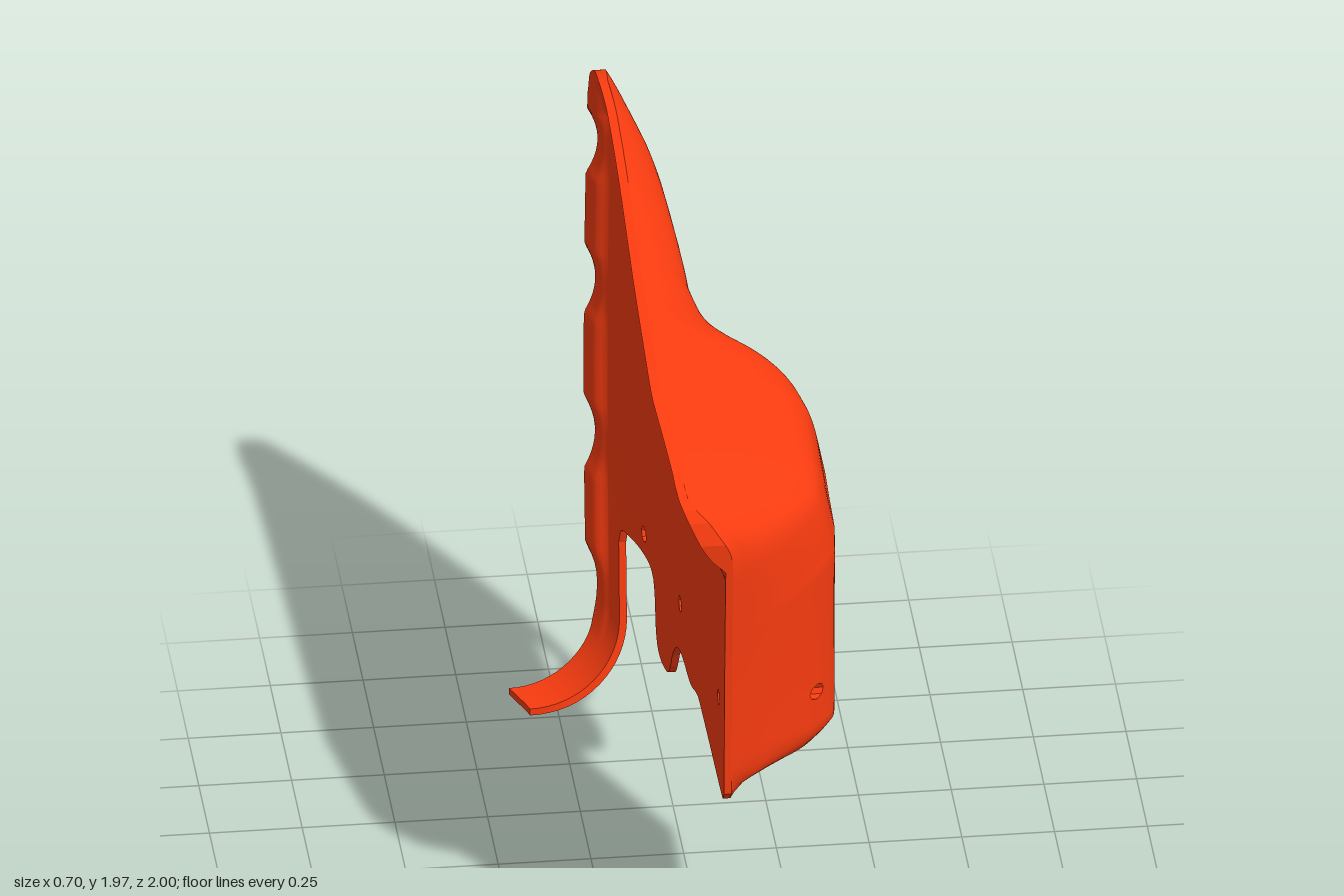
import * as THREE from 'three';
import { mergeGeometries } from 'three/addons/utils/BufferGeometryUtils.js';

const { lerp, smoothstep, clamp } = THREE.MathUtils;

// Smooth monotone curve through [t, value] points (t ascending)
function curve(pts) {
  const n = pts.length;
  const d = pts.slice(1).map((p, i) => (p[1] - pts[i][1]) / (p[0] - pts[i][0]));
  const m = pts.map((p, i) => {
    if (i === 0) return d[0];
    if (i === n - 1) return d[n - 2];
    return d[i - 1] * d[i] <= 0 ? 0 : (2 * d[i - 1] * d[i]) / (d[i - 1] + d[i]);
  });
  return (t) => {
    t = clamp(t, pts[0][0], pts[n - 1][0]);
    let i = 0;
    while (i < n - 2 && t > pts[i + 1][0]) i++;
    const h = pts[i + 1][0] - pts[i][0], s = (t - pts[i][0]) / h, r = 1 - s;
    return (1 + 2 * s) * r * r * pts[i][1] + s * r * r * h * m[i]
      + s * s * (3 - 2 * s) * pts[i + 1][1] - s * s * r * h * m[i + 1];
  };
}

// Outline: top and bottom edges along the panel, rear and front edges by height
const topEdge = curve([[-1, 1.84], [-0.97, 1.92], [-0.9, 1.96], [-0.81, 1.968], [-0.7, 1.958], [0, 1.868],
  [0.5, 1.803], [0.6, 1.787], [0.75, 1.75], [0.87, 1.712], [0.94, 1.675], [0.98, 1.62], [1, 1.55]]);
const bottomEdge = curve([[-0.835, 0.49], [-0.825, 0.525], [-0.79, 0.547], [-0.55, 0.58], [-0.51, 0.568],
  [-0.487, 0.535], [-0.465, 0.41], [-0.44, 0.38], [-0.4, 0.37], [-0.3, 0.388], [-0.27, 0.41], [-0.2, 0.51],
  [-0.13, 0.565], [-0.05, 0.59], [0.15, 0.62], [0.36, 0.69], [0.6, 0.7], [0.96, 0.712], [1, 0.745]]);
const rearEdge = curve([[0.02, -0.88], [0.25, -0.94], [0.4, -0.965], [0.7, -0.995], [1, -1],
  [1.3, -0.985], [1.6, -0.95], [1.85, -0.91], [1.95, -0.9]]);
const frontEdge = curve([[0.72, 0.95], [0.95, 0.957], [1.2, 0.97], [1.55, 1]]);

// Flat panel and the solid bulge on its outer face
const panelDepth = curve([[-1, -0.105], [-0.82, -0.058], [-0.45, 0], [0, 0.02], [1, 0.02]]);
const bulgeRear = curve([[-0.22, 0], [-0.1, 0.12], [-0.04, 0.26], [0.01, 0.48], [0.06, 0.74], [0.13, 0.9], [0.23, 1]]);
const bulgeFront = curve([[0.68, 1], [0.76, 0.97], [0.85, 0.79], [0.92, 0.52], [0.97, 0.26], [1, 0]]);
const bulgeBottom = curve([[0, 0], [0.04, 0.28], [0.09, 0.84], [0.14, 1]]);
const bulgeTop = curve([[0, 0], [0.02, 0.16], [0.11, 0.6], [0.2, 0.86], [0.38, 1]]);

// Flanges: line they roll towards, depth of their lip, and the stepped inner faces
const rollLine = curve([[-1, 1.96], [-0.9, 1.975], [-0.81, 1.968], [0, 1.868], [0.6, 1.787], [0.87, 1.715], [1, 1.63]]);
const topLip = curve([[-1, -0.155], [-0.6, -0.135], [0.55, -0.155], [0.9, -0.13], [1, -0.11]]);
const topStep = curve([[0, 1], [0.13, 0.35], [0.17, 0]]);
const rearStep = curve([[0, 1], [0.065, 0.45], [0.08, 0]]);

const HOOK_START = -0.835;
const HOOK_RADIUS = 0.265;
const THICKNESS = 0.02;

function outerDepth(u, y) {
  const below = rollLine(u) - y;
  const footZ = 0.2 + Math.max(0, 1.5 - y) * 0.26;
  const spread = clamp(0.45 + (y - 0.75) * 0.73, 0.45, 1);
  let bulge = bulgeRear((u - footZ) / spread);
  if (bulge > 0) bulge *= bulgeFront(u) * bulgeTop(below) * bulgeBottom(y - bottomEdge(u));
  const roll = clamp(1 - below / 0.17, 0, 1) ** 2.5;
  return lerp(panelDepth(u) + 0.31 * bulge, topLip(u) + 0.025, roll);
}

function innerDepth(u, y) {
  // Rear lip with scallops
  let lip = -0.155;
  for (const c of [0.3, 0.74, 1.22, 1.68]) lip += 0.03 * Math.max(0, 1 - ((y - c) / 0.11) ** 2);
  const x = lerp(panelDepth(u) - THICKNESS, topLip(u), topStep(rollLine(u) - y));
  return lerp(x, lip, rearStep(u + 1) * smoothstep(y, 0.12, 0.4));
}

// Surface point at u (front-back position) and y (height before the hook curls)
function surfacePoint(u, y, inside) {
  const outer = outerDepth(u, y);
  let x = inside ? innerDepth(u, y) : outer, h = y;
  // Lower hook bends inwards by a quarter turn
  if (y < HOOK_RADIUS) {
    const a = (HOOK_RADIUS - y) / HOOK_RADIUS, r = HOOK_RADIUS + x - outer;
    x = outer - HOOK_RADIUS + r * Math.cos(a);
    h = HOOK_RADIUS - r * Math.sin(a);
  }
  const z = u + (rearEdge(h) + 1) * Math.max(0, (-u - 0.6) / 0.4)
    + (frontEdge(h) - 1) * Math.max(0, (u - 0.5) / 0.5);
  return [x, h, z];
}

// Thick sheet between two u limits, with round holes
function sheet(u0, u1, cols, rows, bottom, holes = []) {
  const params = [], removed = new Set(), id = (i, j) => i * (rows + 1) + j;
  for (let i = 0; i <= cols; i++) {
    const u = lerp(u0, u1, i / cols), b = bottom(u), t = topEdge(u);
    for (let j = 0; j <= rows; j++) params.push([u, lerp(t, b, (1 - j / rows) ** 1.5)]);
  }
  // Each hole takes a 2 x 2 block of cells, whose rim moves onto a circle
  for (const [hu, hy] of holes) {
    const ci = Math.round((hu - u0) / (u1 - u0) * cols);
    let cj = 1;
    for (let j = 1; j < rows; j++) {
      if (Math.abs(params[id(ci, j)][1] - hy) < Math.abs(params[id(ci, cj)][1] - hy)) cj = j;
    }
    for (let di = -1; di <= 1; di++) for (let dj = -1; dj <= 1; dj++) {
      const a = Math.atan2(dj, di), r = di || dj ? 0.023 : 0;
      params[id(ci + di, cj + dj)] = [hu + r * Math.cos(a), hy + r * Math.sin(a)];
      if (di < 1 && dj < 1) removed.add(id(ci + di, cj + dj));
    }
  }
  const index = [];
  for (let i = 0; i < cols; i++) for (let j = 0; j < rows; j++) {
    if (removed.has(id(i, j))) continue;
    const a = id(i, j), b = id(i, j + 1), c = id(i + 1, j + 1), d = id(i + 1, j);
    index.push(a, b, d, b, c, d);
  }
  const face = (inside) => {
    const g = new THREE.BufferGeometry();
    const points = params.flatMap(([u, y]) => surfacePoint(u, y, inside));
    g.setAttribute('position', new THREE.Float32BufferAttribute(points, 3));
    g.setIndex(inside ? index.slice().reverse() : index);
    g.computeVertexNormals();
    return g;
  };
  const outer = face(false), inner = face(true);

  // Edge walls along every open border
  const edges = new Map(), wall = [];
  for (let k = 0; k < index.length; k += 3) for (let e = 0; e < 3; e++) {
    const a = index[k + e], b = index[k + (e + 1) % 3];
    if (!edges.delete(b + '_' + a)) edges.set(a + '_' + b, [a, b]);
  }
  const at = (g, k) => g.attributes.position.array.slice(3 * k, 3 * k + 3);
  for (const [a, b] of edges.values()) {
    // The two sheets butt together at the hook line, so no wall is needed there
    if (params[a][0] === HOOK_START && params[b][0] === HOOK_START && params[a][1] > 0.5) continue;
    wall.push(...at(outer, b), ...at(outer, a), ...at(inner, a), ...at(outer, b), ...at(inner, a), ...at(inner, b));
  }
  const rim = new THREE.BufferGeometry();
  rim.setAttribute('position', new THREE.Float32BufferAttribute(wall, 3));
  rim.computeVertexNormals();
  return mergeGeometries([outer.toNonIndexed(), inner.toNonIndexed(), rim]);
}

export function createModel() {
  const group = new THREE.Group();
  group.name = 'sidePanel';
  const material = new THREE.MeshStandardMaterial({ color: 0xfa3c10, side: THREE.DoubleSide });
  const add = (name, geometry) => {
    const mesh = new THREE.Mesh(geometry, material);
    mesh.name = name;
    group.add(mesh);
  };
  const holes = [[-0.05, 1.5], [-0.54, 1.61], [-0.08, 0.73], [-0.605, 0.64], [0.848, 0.97]];
  add('bulgedPanel', sheet(HOOK_START, 1, 110, 64, bottomEdge, holes));
  // Rear strip: scalloped flange and lower hook
  const hookBottom = HOOK_RADIUS * (1 - Math.PI / 2);
  add('rearFlangeAndHook', sheet(-1, HOOK_START, 18, 120, () => hookBottom));
  return group;
}
